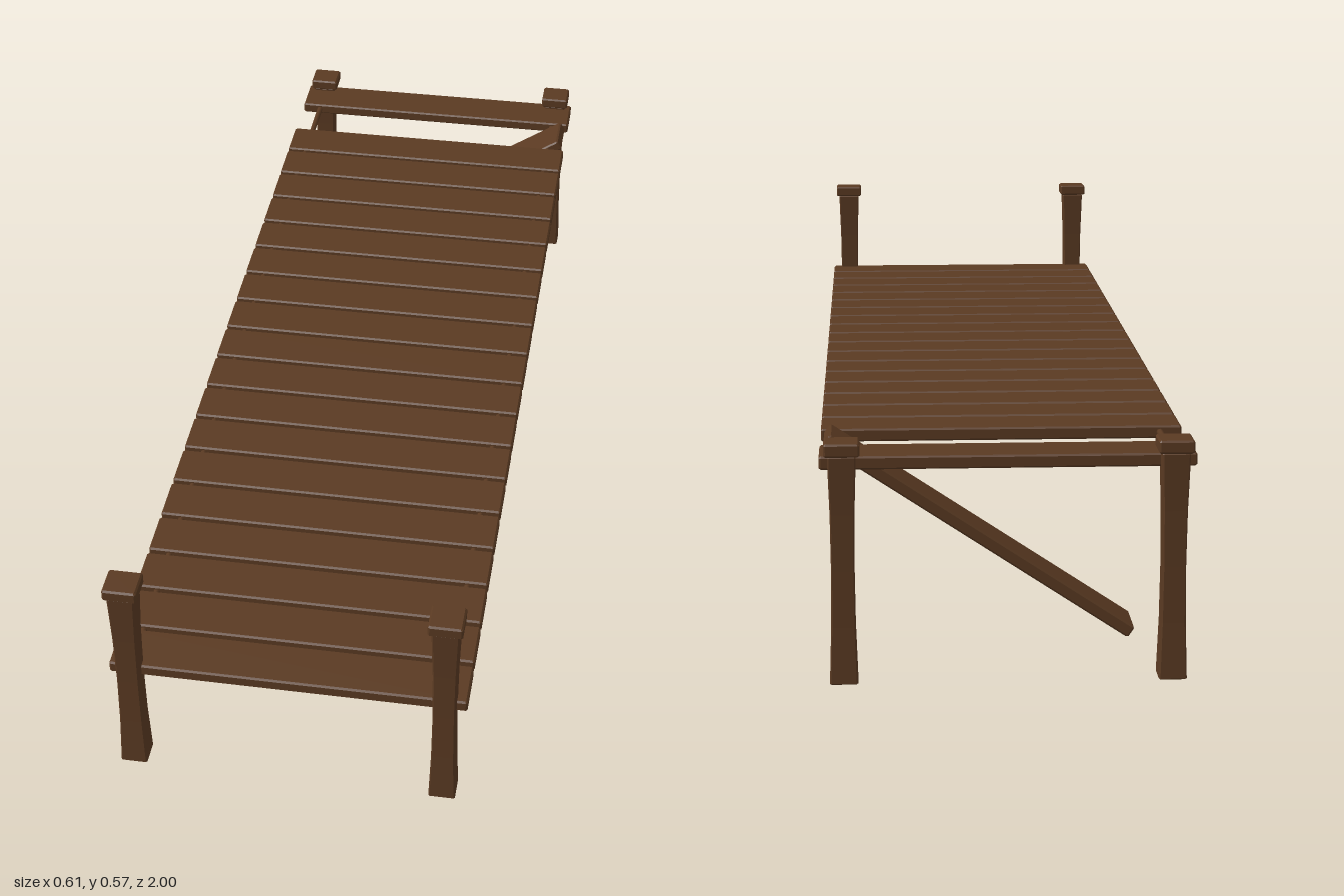
import * as THREE from 'three';

const wood = new THREE.MeshStandardMaterial({ color: 0x5a3a22 });
wood.name = 'brownWood';

// Box with small flat chamfers on every edge; h runs along y
function chamferedBox(w, h, d, b, steps = 1) {
  const x = w / 2, y = d / 2;
  const outline = [
    [-x + b, -y], [x - b, -y], [x, -y + b], [x, y - b],
    [x - b, y], [-x + b, y], [-x, y - b], [-x, -y + b],
  ].map(([px, py]) => new THREE.Vector2(px, py));
  const geo = new THREE.ExtrudeGeometry(new THREE.Shape(outline), {
    depth: h - 2 * b, steps, bevelEnabled: true, bevelSegments: 1,
    bevelThickness: b, bevelSize: b, bevelOffset: -b,
  });
  geo.translate(0, 0, b - h / 2);
  geo.rotateX(-Math.PI / 2);
  return geo;
}

// Square post pinched at the waist
function postGeometry(h) {
  const geo = chamferedBox(0.038, h, 0.038, 0.002, 4);
  const p = geo.attributes.position;
  for (let i = 0; i < p.count; i++) {
    const u = p.getY(i) / (h / 2);
    const s = 1 + 0.22 * u * u;
    p.setX(i, p.getX(i) * s);
    p.setZ(i, p.getZ(i) * s);
  }
  geo.computeVertexNormals();
  return geo;
}

export function createModel() {
  const model = new THREE.Group();
  model.name = 'footbridge';
  const add = (parent, name, geo, x, y, z) => {
    const mesh = new THREE.Mesh(geo, wood);
    mesh.name = name;
    mesh.position.set(x, y, z);
    parent.add(mesh);
    return mesh;
  };

  // Corner posts: the front pair stands higher than the back pair
  const postH = 0.383;
  const postGeo = postGeometry(postH);
  const capGeo = chamferedBox(0.058, 0.022, 0.056, 0.003);
  for (const [end, z, base] of [['front', 0.972, 0.167], ['back', -0.972, 0]]) {
    for (const [side, x] of [['Left', 0.27], ['Right', -0.27]]) {
      const post = new THREE.Group();
      post.name = end + side + 'Post';
      post.position.set(x, base, z);
      add(post, 'postShaft', postGeo, 0, postH / 2, 0);
      add(post, 'postCap', capGeo, 0, postH + 0.011, 0);
      model.add(post);
    }
  }

  // Deck planks; the second from the back has come loose and hangs down
  const plankGeo = chamferedBox(0.614, 0.022, 0.088, 0.003);
  const deck = new THREE.Group();
  deck.name = 'deck';
  model.add(deck);
  for (let i = 0; i < 20; i++) {
    const z = -0.927 + i * 0.0975;
    if (i === 1) {
      add(model, 'fallenPlank', plankGeo, 0.041, 0.212, z).rotation.z = 0.587;
    } else {
      add(deck, 'plank', plankGeo, 0, 0.367, z);
    }
  }

  // Thin cords running through the planks
  const cordGeo = new THREE.CylinderGeometry(0.006, 0.006, 1.92, 8);
  cordGeo.rotateX(Math.PI / 2);
  add(model, 'leftCord', cordGeo, 0.27, 0.367, 0);
  add(model, 'rightCord', cordGeo, -0.27, 0.367, 0);

  return model;
}
